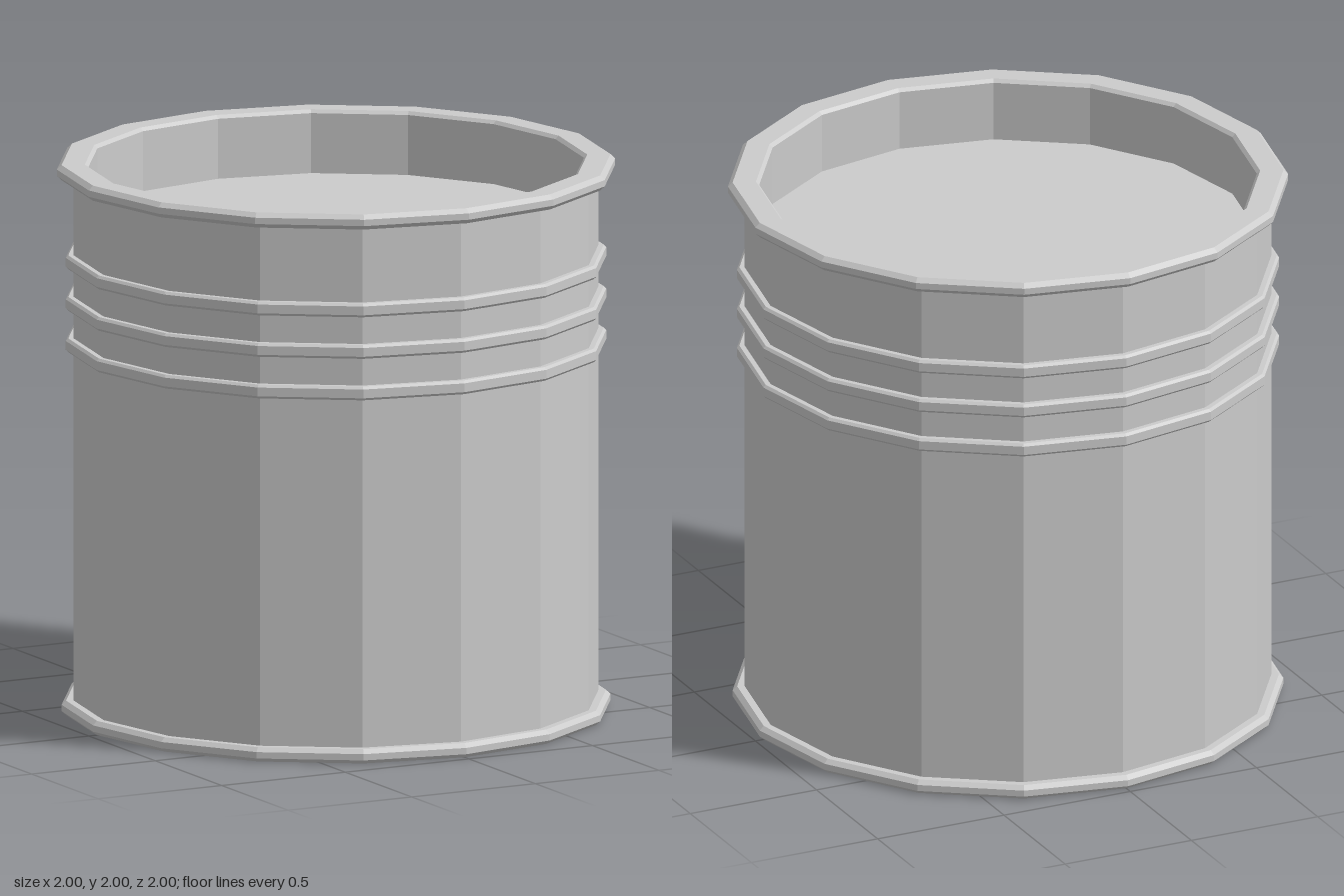
import * as THREE from 'three';

const SIDES = 16;
const BODY_R = 0.94;
const material = new THREE.MeshStandardMaterial({ color: 0xcccccc, flatShading: true });

// Revolve a [radius, y] profile (outside faces run bottom to top)
function revolve(name, profile) {
  const points = profile.map(([r, y]) => new THREE.Vector2(r, y));
  const mesh = new THREE.Mesh(new THREE.LatheGeometry(points, SIDES), material);
  mesh.name = name;
  return mesh;
}

// Bevelled band standing out from the body wall
function band(name, y0, y1, radius, bevel) {
  return revolve(name, [
    [BODY_R, y0], [radius - bevel, y0], [radius, y0 + bevel],
    [radius, y1 - bevel], [radius - bevel, y1], [BODY_R, y1],
  ]);
}

export function createModel() {
  const drum = new THREE.Group();
  drum.name = 'drum';

  // Straight wall
  drum.add(revolve('body', [[BODY_R, 0.05], [BODY_R, 1.945]]));

  // Flat underside with its bevelled lip
  drum.add(revolve('bottomRim', [
    [0, 0], [0.967, 0], [0.983, 0.014], [0.983, 0.037], [0.967, 0.052], [BODY_R, 0.052],
  ]));

  // Three raised ribs around the upper body
  [1.344, 1.495, 1.646].forEach((y, i) => {
    drum.add(band(`rib${i + 1}`, y - 0.025, y + 0.025, 0.968, 0.009));
  });

  // Top rim, folding over into the inner wall
  drum.add(revolve('topRim', [
    [BODY_R, 1.945], [0.983, 1.945], [1.0, 1.961], [1.0, 1.984], [0.983, 2.0],
    [0.9, 2.0], [0.888, 1.988], [0.888, 1.77],
  ]));

  // Sunken lid
  drum.add(revolve('lid', [[0.888, 1.77], [0, 1.77]]));

  return drum;
}
